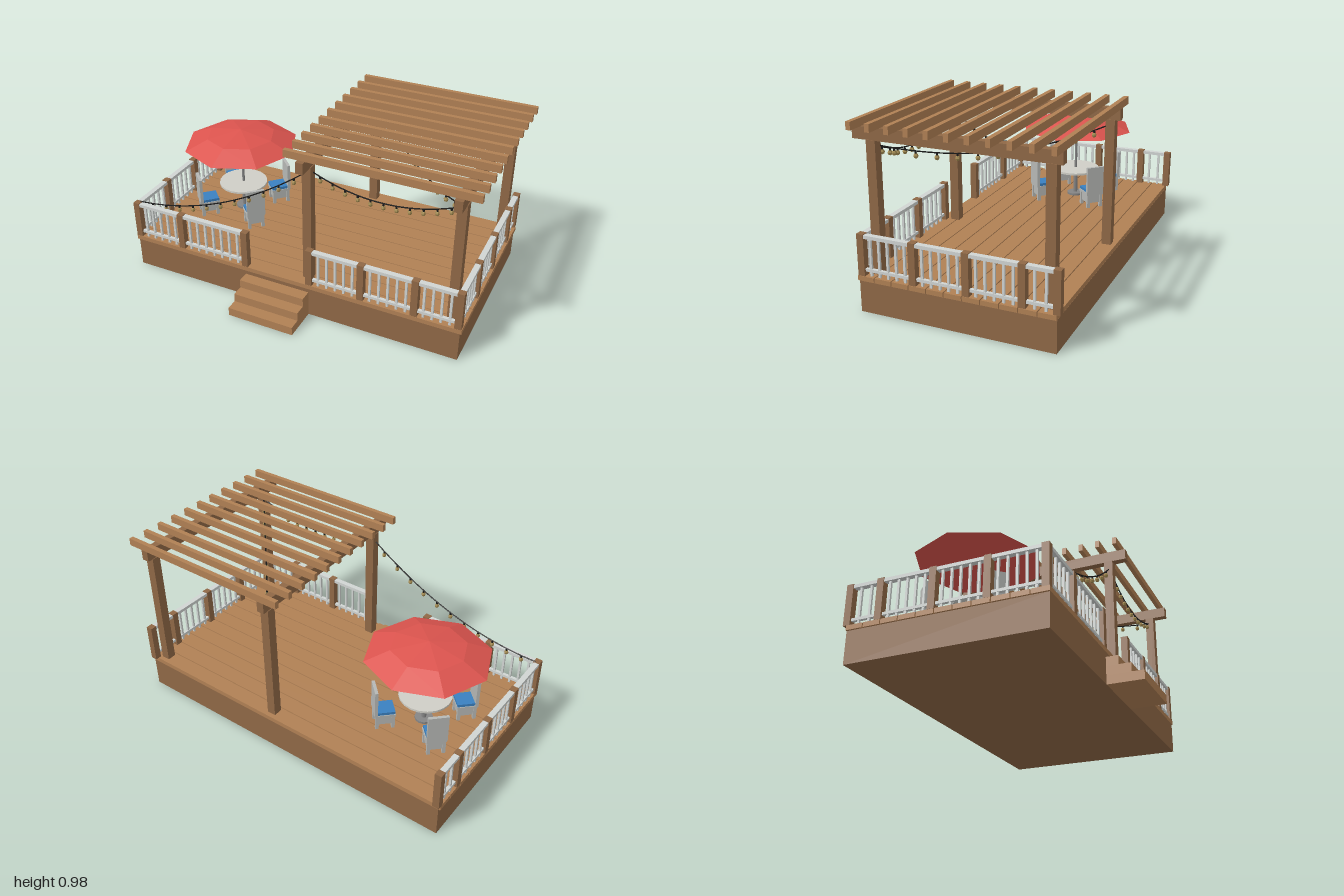
import * as THREE from 'three';

const mat = (name, color) => Object.assign(new THREE.MeshStandardMaterial({ color }), { name });

export function createModel() {
  const M = {
    dark: mat('dark timber', 0x8f6846),
    light: mat('light timber', 0xb08054),
    rail: mat('pale rail', 0xd0d4d2),
    grey: mat('chair grey', 0xb6b8b5),
    table: mat('table top', 0xcfcec6),
    pole: mat('pole grey', 0x858585),
    blue: mat('cushion blue', 0x3a80c0),
    red: mat('canopy red', 0xdc544e),
    wire: mat('wire black', 0x1a1a1a),
    bulb: mat('bulb amber', 0xa58c52),
  };
  M.red.flatShading = M.bulb.flatShading = true;
  const model = new THREE.Group();
  model.name = 'deck';

  const add = (parent, name, geo, material, x = 0, y = 0, z = 0) => {
    const m = new THREE.Mesh(geo, material);
    m.name = name;
    m.position.set(x, y, z);
    parent.add(m);
    return m;
  };
  // Box given by its min and max corners
  const box = (parent, name, material, x0, x1, y0, y1, z0, z1) =>
    add(parent, name, new THREE.BoxGeometry(x1 - x0, y1 - y0, z1 - z0), material,
      (x0 + x1) / 2, (y0 + y1) / 2, (z0 + z1) / 2);
  const group = (name, parent = model) => {
    const g = new THREE.Group();
    g.name = name;
    parent.add(g);
    return g;
  };

  // Platform and floor planks
  const DECK = 0.197;
  box(model, 'platform', M.dark, -0.985, 0.957, 0, 0.172, -0.605, 0.434);
  const floor = group('floor');
  for (let i = 0; i < 11; i++) {
    const z = 0.438 - i * 0.0952;
    box(floor, 'plank', M.light, -0.995, 0.966, 0.172, DECK, z - 0.09, z);
  }

  // Steps
  const steps = group('steps');
  [0.63, 0.565, 0.5].forEach((z, i) =>
    box(steps, 'step', M.light, -0.272, 0.114, i * 0.049, (i + 1) * 0.049, 0.434, z));

  // Railing: posts at the given stops along one axis, bars and balusters between
  const railing = (name, alongX, fixed, stops) => {
    const g = group(name);
    const bar = (part, material, a, b, y0, y1, w) => alongX
      ? box(g, part, material, a, b, y0, y1, fixed - w, fixed + w)
      : box(g, part, material, fixed - w, fixed + w, y0, y1, a, b);
    stops.forEach((s, i) => {
      bar('railPost', M.dark, s - 0.0185, s + 0.0185, DECK, 0.416, 0.0185);
      if (i === stops.length - 1) return;
      const e = stops[i + 1];
      bar('topRail', M.rail, s, e, 0.394, 0.412, 0.015);
      bar('bottomRail', M.rail, s, e, 0.22, 0.235, 0.009);
      const n = Math.round((e - s) / 0.05);
      for (let k = 1; k < n; k++) {
        const p = s + (e - s) * k / n;
        bar('baluster', M.rail, p - 0.006, p + 0.006, DECK, 0.396, 0.006);
      }
    });
  };
  const sideStops = [-0.604, -0.433, -0.149, 0.134, 0.418];
  railing('leftRailing', false, 0.944, sideStops);
  railing('rightRailing', false, -0.977, sideStops);
  railing('frontRailingA', true, 0.418, [-0.977, -0.684, -0.275]);
  railing('frontRailingB', true, 0.418, [0.115, 0.411, 0.708, 0.944]);

  // Pergola: posts, two beams and cross rafters
  const pergola = group('pergola');
  for (const x of [0.082, 0.893]) {
    for (const z of [0.355, -0.553])
      box(pergola, 'pergolaPost', M.dark, x - 0.025, x + 0.025, DECK, 0.882, z - 0.025, z + 0.025);
    box(pergola, 'beam', M.dark, x - 0.021, x + 0.021, 0.88, 0.943, -0.605, 0.457);
  }
  for (let i = 0; i < 11; i++) {
    const z = 0.42 - i * 0.1015;
    box(pergola, 'rafter', M.light, -0.02, 0.996, 0.942, 0.983, z - 0.0125, z + 0.0125);
  }

  // Parasol and round table
  const dining = group('diningSet');
  dining.position.set(-0.6, 0, -0.122);
  add(dining, 'parasolPole', new THREE.CylinderGeometry(0.008, 0.008, 0.5, 8), M.pole, 0, DECK + 0.25, 0);
  const canopy = [[0, 0.625], [0.335, 0.625], [0.2, 0.682], [0, 0.715]].map(p => new THREE.Vector2(...p));
  add(dining, 'parasolCanopy', new THREE.LatheGeometry(canopy, 8), M.red);
  add(dining, 'tableTop', new THREE.CylinderGeometry(0.143, 0.143, 0.012, 20), M.table, 0, 0.364, 0);
  add(dining, 'tableLeg', new THREE.CylinderGeometry(0.013, 0.013, 0.16, 8), M.pole, 0, DECK + 0.08, 0);
  add(dining, 'tableFoot', new THREE.CylinderGeometry(0.05, 0.05, 0.012, 12), M.pole, 0, DECK + 0.006, 0);

  // Four chairs on the diagonals, each facing the table
  for (let i = 0; i < 4; i++) {
    const chair = group('chair', dining);
    chair.rotation.y = Math.PI / 4 + i * Math.PI / 2;
    box(chair, 'chairBack', M.grey, -0.054, 0.054, 0.285, 0.447, 0.262, 0.279);
    box(chair, 'seat', M.grey, -0.052, 0.052, 0.275, 0.29, 0.165, 0.275);
    box(chair, 'skirt', M.grey, -0.044, 0.044, 0.225, 0.276, 0.175, 0.268);
    box(chair, 'cushion', M.blue, -0.048, 0.048, 0.289, 0.306, 0.167, 0.262);
    for (const x of [-0.04, 0.04])
      for (const z of [0.178, 0.264])
        box(chair, 'chairLeg', M.grey, x - 0.009, x + 0.009, DECK, 0.276, z - 0.009, z + 0.009);
  }

  // Sagging light strings with hanging bulbs
  const bulbGeo = new THREE.SphereGeometry(0.0125, 6, 4).scale(1, 1.15, 1);
  const capGeo = new THREE.CylinderGeometry(0.005, 0.006, 0.014, 6);
  const lightString = (a, b, sag, first) => {
    const g = group('lightString');
    const at = t => new THREE.Vector3(...a).lerp(new THREE.Vector3(...b), t)
      .add(new THREE.Vector3(0, -4 * sag * t * (1 - t), 0));
    const pts = Array.from({ length: 13 }, (_, i) => at(i / 12));
    add(g, 'wire', new THREE.TubeGeometry(new THREE.CatmullRomCurve3(pts), 36, 0.0035, 5), M.wire);
    for (let i = 0; i < 11; i++) {
      const p = at(first + (1 - 2 * first) * i / 10);
      add(g, 'bulbCap', capGeo, M.wire, p.x, p.y - 0.007, p.z);
      add(g, 'bulb', bulbGeo, M.bulb, p.x, p.y - 0.024, p.z);
    }
  };
  lightString([-0.97, 0.415, 0.405], [0.085, 0.85, 0.355], 0.1, 0.08);
  lightString([0.1, 0.848, 0.352], [0.88, 0.848, 0.347], 0.086, 0.06);
  lightString([0.1, 0.848, -0.535], [0.875, 0.848, 0.335], 0.086, 0.06);

  return model;
}
